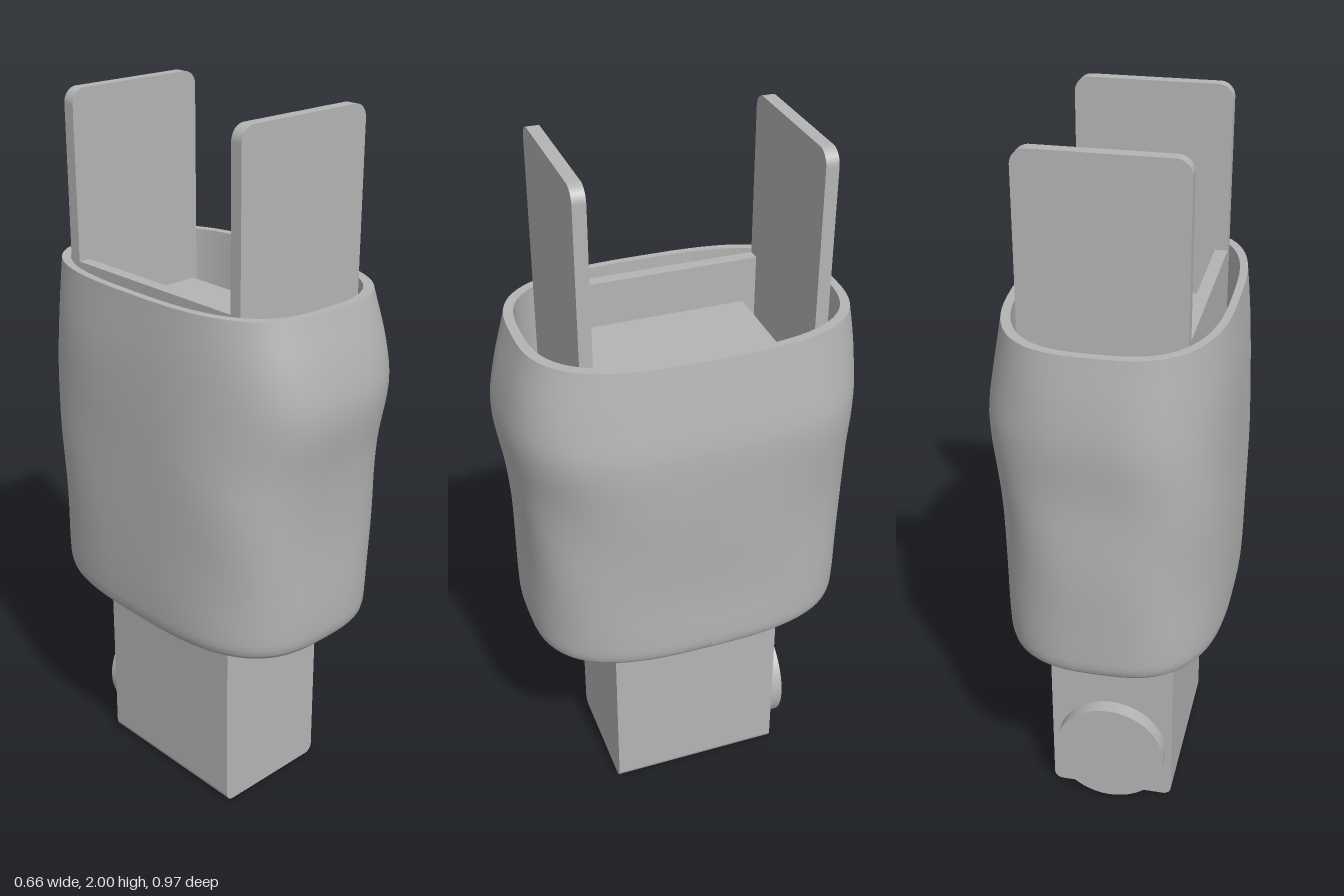
import * as THREE from 'three';

const grey = new THREE.MeshStandardMaterial({ color: 0xb4b4b4 });
grey.name = 'plain grey';

function add(group, name, geometry, x = 0, y = 0, z = 0) {
  const mesh = new THREE.Mesh(geometry, grey);
  mesh.name = name;
  mesh.position.set(x, y, z);
  group.add(mesh);
  return mesh;
}

// Rounded rectangle in x/y, extruded from z = 0 to z = depth
function roundedSlab(x0, x1, y0, y1, r, depth) {
  const s = new THREE.Shape();
  s.moveTo(x0 + r, y0);
  s.lineTo(x1 - r, y0);
  s.absarc(x1 - r, y0 + r, r, -Math.PI / 2, 0, false);
  s.lineTo(x1, y1 - r);
  s.absarc(x1 - r, y1 - r, r, 0, Math.PI / 2, false);
  s.lineTo(x0 + r, y1);
  s.absarc(x0 + r, y1 - r, r, Math.PI / 2, Math.PI, false);
  s.lineTo(x0, y0 + r);
  s.absarc(x0 + r, y0 + r, r, Math.PI, Math.PI * 1.5, false);
  return new THREE.ExtrudeGeometry(s, { depth, bevelEnabled: false, curveSegments: 8 });
}

// Skin over oval cross-sections, each [y, xMin, xMax, zMin, zMax, lump]
function loft(rows, sides = 72) {
  const pos = [], index = [];
  for (const [y, x0, x1, z0, z1, lump] of rows) {
    for (let i = 0; i <= sides; i++) {
      const a = ((i % sides) / sides) * Math.PI * 2;
      const c = Math.cos(a), s = Math.sin(a), e = 2 / 2.95;
      const wave = 1 + lump * (Math.sin(3 * a + 7 * y) + 0.7 * Math.sin(5 * a - 11 * y));
      const ux = Math.sign(c) * Math.abs(c) ** e, uz = Math.sign(s) * Math.abs(s) ** e;
      pos.push((x0 + x1) / 2 + ux * wave * (x1 - x0) / 2, y, (z0 + z1) / 2 + uz * wave * (z1 - z0) / 2);
    }
  }
  const n = sides + 1;
  for (let j = 0; j < rows.length - 1; j++) {
    for (let i = 0; i < sides; i++) {
      const p = j * n + i;
      index.push(p, p + n, p + 1, p + 1, p + n, p + n + 1);
    }
  }
  const g = new THREE.BufferGeometry();
  g.setAttribute('position', new THREE.Float32BufferAttribute(pos, 3));
  g.setIndex(index);
  g.computeVertexNormals();
  return g;
}

export function createModel() {
  const model = new THREE.Group();
  model.name = 'sleevedHolder';

  // Hand-shaped sleeve: uneven outside, straight inside, flat rims
  const sleeve = new THREE.Group();
  sleeve.name = 'sleeve';
  model.add(sleeve);
  const keys = [
    [0.58, -0.305, 0.285, -0.45, 0.435],
    [0.595, -0.317, 0.296, -0.463, 0.446],
    [0.63, -0.323, 0.301, -0.469, 0.452],
    [0.8, -0.327, 0.304, -0.472, 0.456],
    [1.0, -0.331, 0.313, -0.474, 0.461],
    [1.12, -0.329, 0.321, -0.477, 0.468],
    [1.28, -0.323, 0.328, -0.486, 0.488],
    [1.4, -0.317, 0.313, -0.478, 0.474],
    [1.54, -0.305, 0.29, -0.46, 0.438],
  ];
  const outer = [];
  for (let k = 0; k < keys.length - 1; k++) {
    const steps = k < 2 ? 2 : 5;
    for (let i = 0; i < steps; i++) {
      const t = i / steps;
      outer.push(keys[k].map((v, m) => {
        if (m === 0) return THREE.MathUtils.lerp(v, keys[k + 1][0], t);
        const p = keys[Math.max(k - 1, 0)], q = keys[k + 1], r = keys[Math.min(k + 2, keys.length - 1)];
        const h = q[0] - v0(k);
        const m0 = k === 0 ? (q[m] - v) / h : (q[m] - p[m]) / (q[0] - p[0]);
        const m1 = r === q ? (q[m] - v) / h : (r[m] - v) / (r[0] - v0(k));
        const t2 = t * t, t3 = t2 * t;
        return (2 * t3 - 3 * t2 + 1) * v + (t3 - 2 * t2 + t) * h * m0
          + (3 * t2 - 2 * t3) * q[m] + (t3 - t2) * h * m1;
      }));
    }
  }
  function v0(k) { return keys[k][0]; }
  outer.push(keys[keys.length - 1]);
  const lumpy = outer.map((r) => [...r, 0.008 * Math.sin(Math.PI * (r[0] - 0.58) / 0.96)]);
  const innerSize = [-0.284, 0.266, -0.436, 0.412, 0];
  const innerTop = [1.54, ...innerSize], innerBottom = [0.58, ...innerSize];
  add(sleeve, 'sleeveOuterWall', loft(lumpy));
  add(sleeve, 'sleeveTopRim', loft([[...keys[keys.length - 1], 0], innerTop]));
  add(sleeve, 'sleeveInnerWall', loft([innerTop, innerBottom]));
  add(sleeve, 'sleeveBottomRim', loft([innerBottom, [...keys[0], 0]]));

  // Bracket: two tall plates joined by a side plate
  const bracket = new THREE.Group();
  bracket.name = 'bracket';
  model.add(bracket);
  add(bracket, 'frontPlate', roundedSlab(-0.225, 0.205, 0.55, 2, 0.04, 0.035), 0, 0, 0.285);
  add(bracket, 'backPlate', roundedSlab(-0.225, 0.205, 0.55, 2, 0.04, 0.035), 0, 0, -0.346);
  add(bracket, 'sidePlate', new THREE.BoxGeometry(0.035, 0.94, 0.596), -0.2075, 1.068, -0.013);

  // Inner block with a round knob on its back
  add(model, 'block', roundedSlab(-0.19, 0.17, 0, 1.42, 0.025, 0.506), 0, 0, -0.265);
  const knob = add(model, 'knob', new THREE.CylinderGeometry(0.162, 0.162, 0.045, 48), -0.01, 0.167, -0.2865);
  knob.rotation.x = Math.PI / 2;

  return model;
}
